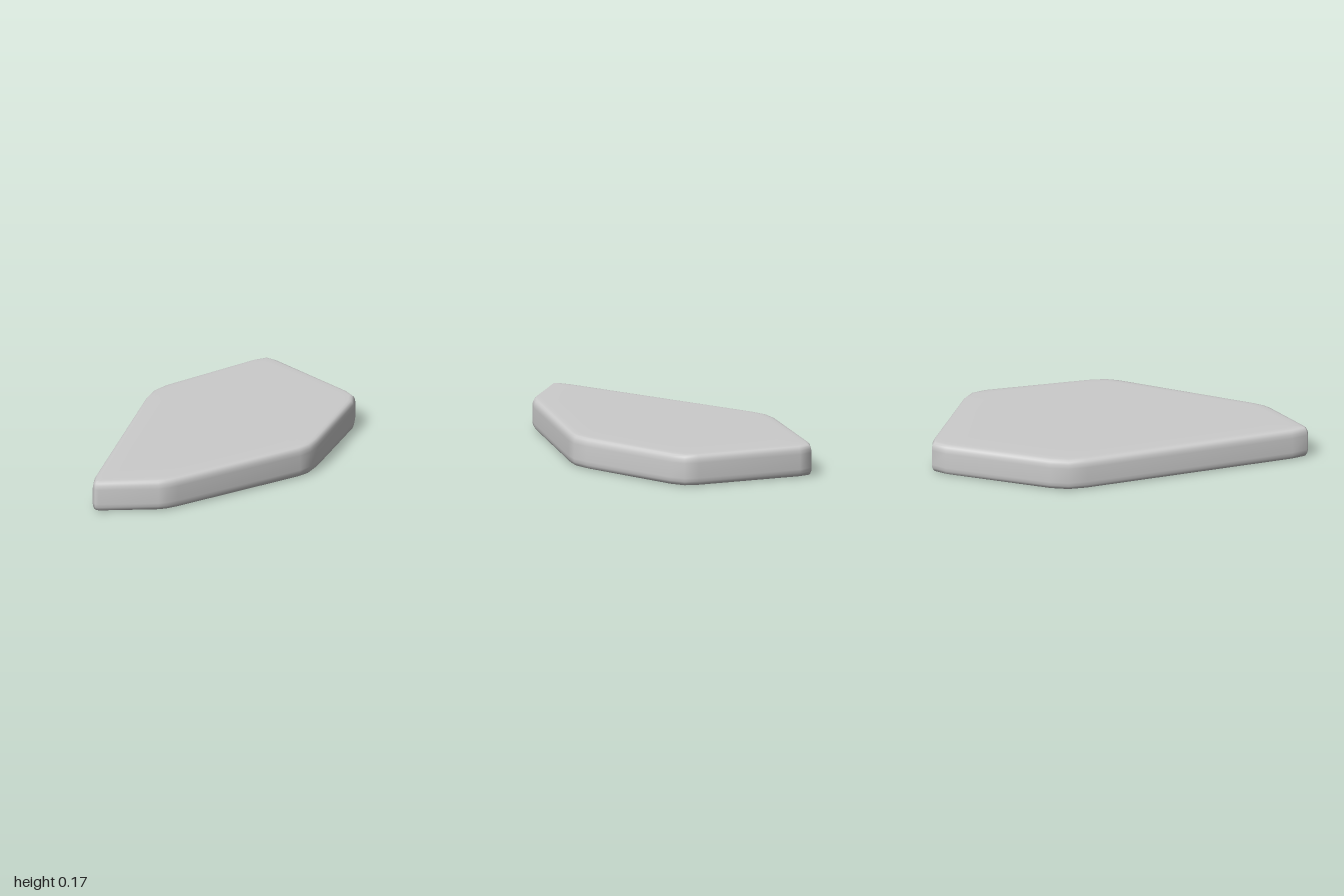
import * as THREE from 'three';

// Outline of the slab seen from above, as [x, z]
const OUTLINE = [
  [-0.35, -1], [-0.275, -1], [0.285, -0.86], [0.355, -0.825], [0.4, -0.75],
  [0.56, -0.2], [0.575, -0.105], [0.56, -0.03], [0.28, 0.7], [0.25, 0.76], [0.22, 0.795],
  [-0.03, 0.995], [-0.05, 1], [-0.07, 0.995], [-0.115, 0.92], [-0.55, -0.16],
  [-0.575, -0.26], [-0.565, -0.36], [-0.395, -0.925],
];
const HEIGHT = 0.172;

// Rounded edge: [inset, depth below the top face, scale toward the centre]
const EDGE = [
  [0, 0.045, 1], [0.003, 0.025, 1], [0.009, 0.012, 1], [0.018, 0.004, 1],
  [0.033, 0.001, 1], [0.035, 0, 0.95], [0.035, 0, 0.8],
];

function slabGeometry() {
  const n = OUTLINE.length;
  const points = OUTLINE.map(([x, z]) => new THREE.Vector2(x, z));
  const edgeNormal = (a, b) => new THREE.Vector2(b.y - a.y, a.x - b.x).normalize();
  const normals = points.map((p, i) =>
    edgeNormal(points[(i + n - 1) % n], p).add(edgeNormal(p, points[(i + 1) % n])).normalize());

  // Rings from the bottom face, up the side, to the top face
  const rings = [
    ...EDGE.map(([inset, d, s]) => [inset, d, s]).reverse(),
    ...EDGE.map(([inset, d, s]) => [inset, HEIGHT - d, s]),
  ];
  const positions = [];
  const index = [];
  for (const [inset, y, s] of rings) {
    points.forEach((p, i) => positions.push(
      (p.x - normals[i].x * inset) * s, y, (p.y - normals[i].y * inset) * s));
  }
  for (let r = 0; r < rings.length - 1; r++) {
    for (let i = 0; i < n; i++) {
      const a = r * n + i, b = r * n + (i + 1) % n;
      index.push(b, a, a + n, b, a + n, b + n);
    }
  }

  // Flat caps
  const bottom = rings.length * n, last = (rings.length - 1) * n;
  positions.push(0, 0, 0, 0, HEIGHT, 0);
  for (let i = 0; i < n; i++) {
    const j = (i + 1) % n;
    index.push(bottom, i, j, bottom + 1, last + j, last + i);
  }

  const geometry = new THREE.BufferGeometry();
  geometry.setAttribute('position', new THREE.Float32BufferAttribute(positions, 3));
  geometry.setIndex(index);
  geometry.computeVertexNormals();
  return geometry;
}

export function createModel() {
  const group = new THREE.Group();
  group.name = 'pavingStone';
  const slab = new THREE.Mesh(slabGeometry(), new THREE.MeshStandardMaterial({ color: 0xcccccc }));
  slab.name = 'stoneSlab';
  group.add(slab);
  return group;
}
